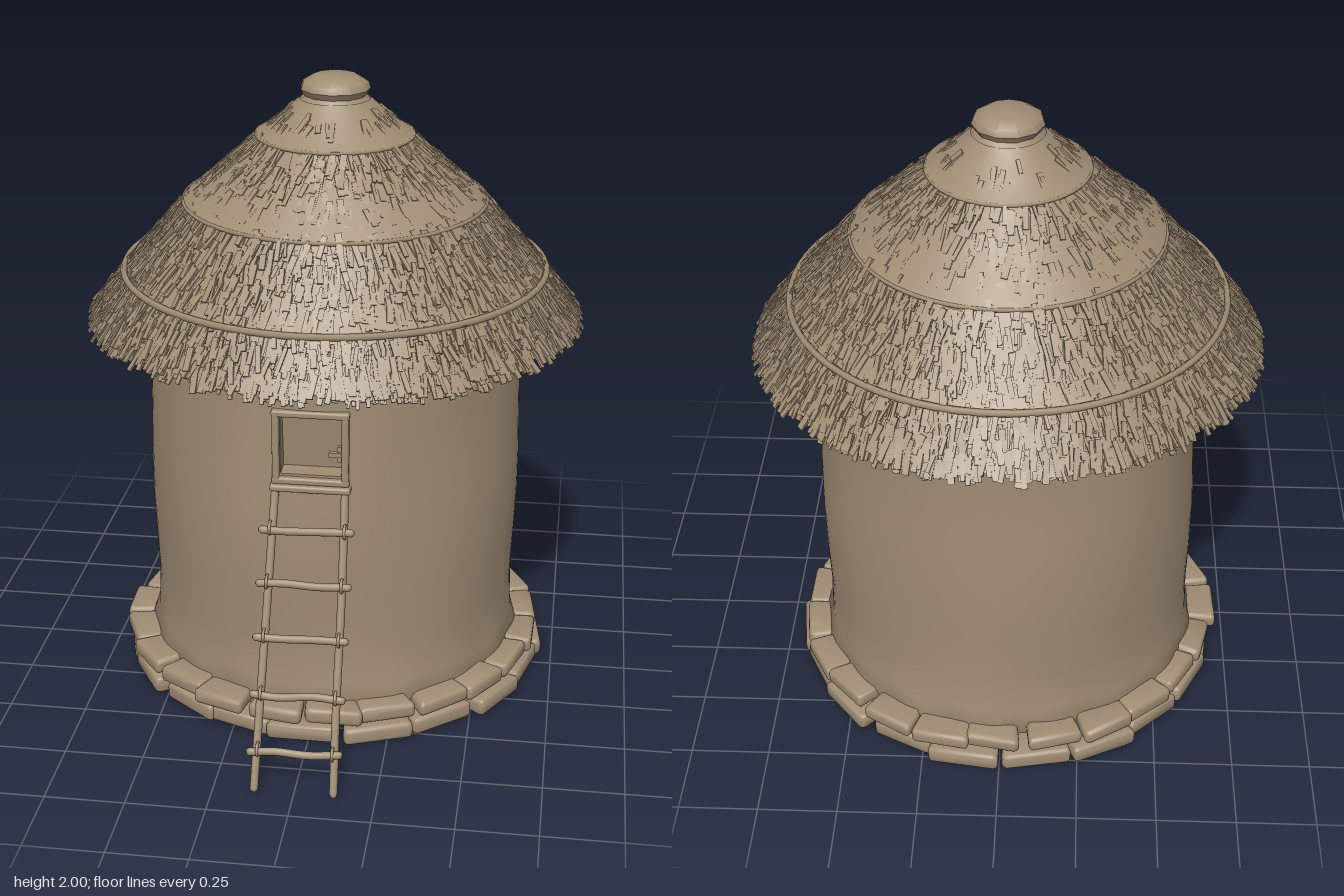
import * as THREE from 'three';
import { mergeGeometries, toCreasedNormals } from 'three/addons/utils/BufferGeometryUtils.js';
import { RoundedBoxGeometry } from 'three/addons/geometries/RoundedBoxGeometry.js';

const clay = new THREE.MeshStandardMaterial({ color: 0x9f8c73, side: THREE.DoubleSide });
clay.name = 'clay';

let seed = 7;
const rnd = (a = 0, b = 1) => {
  seed = (seed * 16807) % 2147483647;
  return a + (b - a) * (seed / 2147483647);
};
const v2 = (pts) => pts.map(([x, y]) => new THREE.Vector2(x, y));

function add(parent, name, geometry, x = 0, y = 0, z = 0) {
  const mesh = new THREE.Mesh(geometry, clay);
  mesh.name = name;
  mesh.position.set(x, y, z);
  parent.add(mesh);
  return mesh;
}

// Round pole between two points, slightly crooked
function pole(a, b, r, bend = 0.006) {
  const A = new THREE.Vector3(...a), B = new THREE.Vector3(...b);
  const mids = [0.3, 0.65].map((t) => A.clone().lerp(B, t)
    .add(new THREE.Vector3(rnd(-bend, bend), rnd(-bend, bend), 0)));
  const curve = new THREE.CatmullRomCurve3([A, ...mids, B]);
  const caps = [A, B].map((p, i) => {
    const cap = new THREE.SphereGeometry(r, 7, 5);
    return cap.translate(p.x, p.y, p.z);
  });
  return mergeGeometries([new THREE.TubeGeometry(curve, 10, r, 7), ...caps]);
}

// Mud wall with a square opening at the front
function wallGeometry() {
  const profile = v2([[0.59, 0.02], [0.625, 0.11], [0.607, 0.16], [0.603, 0.3], [0.61, 0.45], [0.615, 0.62],
    [0.612, 0.78], [0.608, 0.885], [0.606, 0.99], [0.605, 1.095], [0.604, 1.2], [0.6, 1.34]]);
  const segs = 114, n = profile.length;
  const g = new THREE.LatheGeometry(profile, segs, Math.PI);
  const p = g.attributes.position;
  for (let i = 0; i < p.count; i++) {
    const x = p.getX(i), y = p.getY(i), z = p.getZ(i), a = Math.atan2(x, z);
    let k = 1 + 0.006 * Math.sin(3 * a + 4 * y) + 0.004 * Math.sin(5 * a - 6 * y);
    if (y < 0.13) k += 0.008 * Math.sin(17 * a);
    p.setX(i, x * k);
    p.setZ(i, z * k);
    if (y > 0.14 && y < 0.2) p.setY(i, y + 0.012 * Math.sin(11 * a));
  }
  const kept = [];
  for (let i = 0; i < segs; i++) for (let j = 0; j < n - 1; j++) {
    if (i >= 54 && i < 60 && (j === 7 || j === 8)) continue;
    const at = (i * (n - 1) + j) * 6;
    for (let k = 0; k < 6; k++) kept.push(g.index.getX(at + k));
  }
  g.setIndex(kept);
  g.computeVertexNormals();
  return g;
}

// One curved foundation stone: a rounded block bent round the ring
function stone(angle, width, y, h, inner, outer) {
  const depth = outer - inner, mid = (inner + outer) / 2;
  const g = new RoundedBoxGeometry(width * mid, h, depth, 2, 0.016);
  const p = g.attributes.position, ph = rnd(0, 6), tilt = rnd(-0.05, 0.05), skew = rnd(-0.12, 0.12);
  for (let i = 0; i < p.count; i++) {
    const x = p.getX(i), z = p.getZ(i);
    const a = angle + (x + skew * z) / mid;
    const r = mid + z + 0.008 * Math.sin(x * 30 + ph) * (z > 0 ? 1 : 0.4);
    p.setXYZ(i, r * Math.sin(a), y + p.getY(i) + (y > 0.05 ? tilt * x : 0), r * Math.cos(a));
  }
  g.deleteAttribute('normal');
  g.deleteAttribute('uv');
  return toCreasedNormals(g, 0.7);
}

// Roof outline from the eave to the peak, as radius and height
const slope = [[0.775, 1.24], [0.665, 1.38], [0.475, 1.6], [0.24, 1.81], [0.115, 1.92]];
function roofAt(y) {
  let i = 0;
  while (i < slope.length - 2 && y > slope[i + 1][1]) i++;
  const [r0, y0] = slope[i], [r1, y1] = slope[i + 1];
  return { r: r0 + (r1 - r0) * (y - y0) / (y1 - y0), tilt: Math.atan2(r0 - r1, y1 - y0) };
}

// Loose straws lying down the slope
function straws(count, yLow, yHigh, lift) {
  const list = [];
  for (let i = 0; i < count; i++) {
    const y = yLow + (yHigh - yLow) * Math.pow(rnd(), 1.3);
    const { r, tilt } = roofAt(y);
    const g = new THREE.BoxGeometry(rnd(0.008, 0.022), rnd(0.04, 0.09), 0.006);
    g.rotateZ(rnd(-0.25, 0.25));
    g.rotateX(-tilt + rnd(-0.1, 0.1));
    g.translate(0, y, r + rnd(0, lift));
    g.rotateY(rnd(0, Math.PI * 2));
    list.push(g);
  }
  return mergeGeometries(list);
}

export function createModel() {
  const model = new THREE.Group();
  model.name = 'thatchedHut';
  const hut = new THREE.Group();
  hut.name = 'hut';
  hut.position.set(-0.005, 0, -0.095);
  model.add(hut);

  add(hut, 'wall', wallGeometry());

  // Two courses of foundation stones
  [[0.03, 0.058, 19], [0.093, 0.052, 23]].forEach(([y, h, count], row) => {
    const list = [];
    for (let i = 0; i < count; i++) {
      const w = (Math.PI * 2) / count;
      list.push(stone((i + row * 0.4 + rnd(-0.06, 0.06)) * w, w * rnd(0.93, 1), y, h * rnd(0.94, 1.03),
        0.545 + row * 0.02, rnd(0.69, 0.715)));
    }
    add(hut, row ? 'upperStones' : 'lowerStones', mergeGeometries(list));
  });

  // Roof shell, stepped where the thatch tiers overlap
  const shell = new THREE.LatheGeometry(v2([[0.08, 1.86], [0.44, 1.55], [0.6, 1.3], [0.73, 1.225], [0.78, 1.235],
    [0.665, 1.375], [0.672, 1.385], [0.575, 1.485], [0.475, 1.595], [0.485, 1.605], [0.36, 1.71],
    [0.24, 1.805], [0.25, 1.815], [0.17, 1.87], [0.112, 1.925]]), 72);
  add(hut, 'roofShell', toCreasedNormals(shell, 0.6));

  // Knotted cap at the peak
  const cap = new THREE.LatheGeometry(v2([[0.125, 1.905], [0.1, 1.935], [0.112, 1.955], [0.105, 1.975],
    [0.07, 1.996], [0, 2]]), 11);
  add(hut, 'roofCap', toCreasedNormals(cap, 0.7));

  // Thatch tiers and the ragged fringe at the eave
  add(hut, 'lowerThatch', straws(1700, 1.25, 1.38, 0.016));
  add(hut, 'middleThatch', straws(1900, 1.4, 1.6, 0.013));
  add(hut, 'upperThatch', straws(950, 1.62, 1.8, 0.01));
  add(hut, 'peakThatch', straws(60, 1.83, 1.89, 0.004));
  add(hut, 'eaveFringe', straws(800, 1.236, 1.262, 0.012));

  // Ropes binding the tiers
  [[0.682, 1.378, 0.011], [0.485, 1.6, 0.007], [0.25, 1.81, 0.006]].forEach(([r, y, t]) => {
    add(hut, 'bindingRope', new THREE.TorusGeometry(r, t, 6, 72).rotateX(Math.PI / 2), 0, y, 0);
  });

  // Window: frame, recess and shutter
  const win = new THREE.Group();
  win.name = 'window';
  win.position.set(0, 0.99, 0.515);
  model.add(win);
  const bar = (name, w, h, x, y) => add(win, name, new RoundedBoxGeometry(w, h, 0.05, 2, 0.007), x, y, -0.022);
  bar('frameTop', 0.24, 0.022, 0, 0.107);
  bar('frameBottom', 0.24, 0.022, 0, -0.115);
  for (const s of [-1, 1]) {
    bar('frameSide', 0.022, 0.23, s * 0.107, 0);
    add(win, 'recessSide', new THREE.BoxGeometry(0.012, 0.22, 0.08), s * 0.1, 0, -0.055);
    add(win, 'recessEdge', new THREE.BoxGeometry(0.21, 0.012, 0.08), 0, s * 0.102, -0.055);
  }
  const shutter = add(win, 'shutter', new THREE.BoxGeometry(0.2, 0.21, 0.012), 0, 0, -0.075);
  shutter.rotation.x = 0.12;
  add(win, 'latch', new THREE.BoxGeometry(0.055, 0.014, 0.018), 0.085, -0.02, -0.01);
  add(win, 'latchPost', new THREE.BoxGeometry(0.012, 0.05, 0.014), 0.09, -0.02, -0.015);
  add(win, 'sill', new RoundedBoxGeometry(0.25, 0.022, 0.05, 2, 0.008), 0, -0.135, -0.008);

  // Leaning ladder
  const ladder = new THREE.Group();
  ladder.name = 'ladder';
  model.add(ladder);
  const railZ = (y) => 0.89 - 0.37 * (y - 0.012) / 0.83;
  for (const s of [-1, 1]) {
    add(ladder, 'rail', pole([s * 0.122, 0.014, railZ(0.014)], [s * 0.108, 0.84, railZ(0.84)], 0.013, 0.003));
  }
  for (const y of [0.13, 0.285, 0.445, 0.595, 0.745]) {
    const z = railZ(y) + 0.024, dy = rnd(-0.006, 0.006);
    add(ladder, 'rung', pole([-0.138, y + dy, z], [0.135, y - dy, z], 0.0125));
    for (const s of [-1, 1]) {
      const tie = add(ladder, 'lashing', new THREE.TorusGeometry(0.02, 0.005, 5, 10), s * 0.115, y, z - 0.01);
      tie.rotation.y = Math.PI / 2;
    }
  }
  return model;
}
